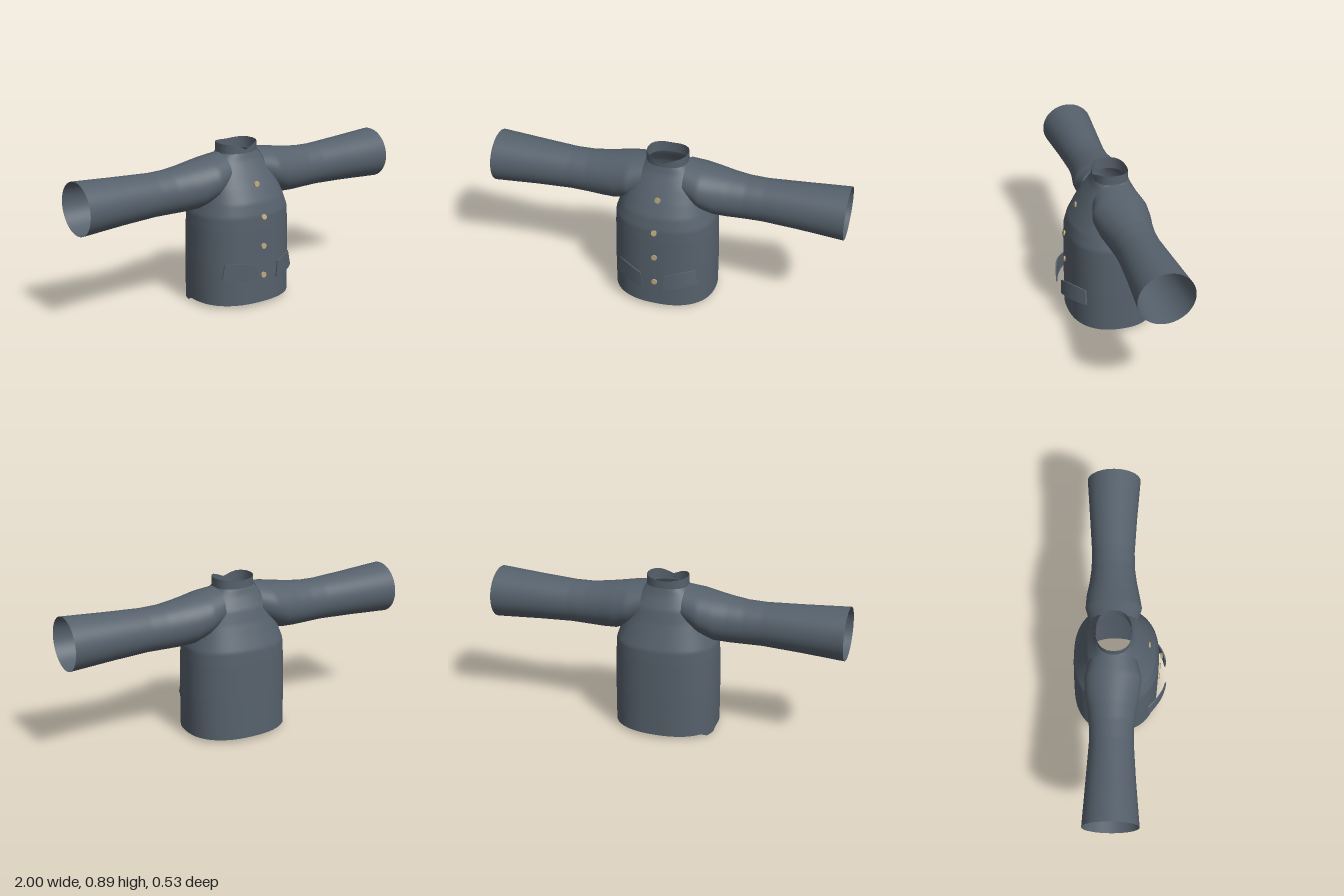
import * as THREE from 'three';

const cloth = new THREE.MeshStandardMaterial({ color: 0x56616c, side: THREE.DoubleSide });
const brass = new THREE.MeshStandardMaterial({ color: 0xb8a67c });

// Torso rings: height, half width, front z, back z
const TORSO = [
  [0.02, 0.29, 0.22, -0.266], [0.25, 0.291, 0.22, -0.262], [0.45, 0.287, 0.219, -0.257],
  [0.52, 0.283, 0.217, -0.253], [0.59, 0.258, 0.2, -0.225], [0.66, 0.235, 0.163, -0.198],
  [0.73, 0.21, 0.122, -0.178], [0.8, 0.155, 0.078, -0.14], [0.838, 0.115, 0.064, -0.127],
];
// Sleeve rings: distance from centre, top, bottom, front z, back z
const SLEEVE = [
  [0.115, 0.84, 0.63, 0.095, -0.165], [0.2, 0.828, 0.585, 0.12, -0.188],
  [0.28, 0.815, 0.553, 0.108, -0.184], [0.36, 0.802, 0.548, 0.093, -0.17],
  [0.45, 0.791, 0.549, 0.081, -0.16], [0.55, 0.789, 0.551, 0.079, -0.158],
  [0.75, 0.8, 0.543, 0.091, -0.172], [1, 0.816, 0.528, 0.111, -0.19],
];

// Interpolated row at key k
function rowAt(rows, k) {
  let i = 0;
  while (i < rows.length - 2 && k > rows[i + 1][0]) i++;
  const t = THREE.MathUtils.clamp((k - rows[i][0]) / (rows[i + 1][0] - rows[i][0]), 0, 1);
  return rows[i].map((v, n) => v + (rows[i + 1][n] - v) * t);
}

// Inside tests used to open the armholes and trim the sleeve roots
function insideSleeve(p) {
  const x = Math.abs(p.x);
  if (x < 0.125) return false;
  const [, top, bot, zf, zb] = rowAt(SLEEVE, x);
  return Math.hypot((p.y - (top + bot) / 2) * 2 / (top - bot), (p.z - (zf + zb) / 2) * 2 / (zf - zb)) < 0.995;
}
const POWER = 2.35, MID = -0.03;
function insideTorso(p) {
  if (p.y > 0.838) return false;
  const [, w, zf, zb] = rowAt(TORSO, p.y);
  const dz = p.z > MID ? (p.z - MID) / (zf - MID) : (p.z - MID) / (zb - MID);
  return Math.abs(p.x / w) ** POWER + dz ** POWER < 0.99;
}

// Tube through rings of points; triangles wholly inside "drop" are left out
function loft(name, rings, sides, point, flip, drop) {
  const pts = [], index = [];
  for (let i = 0; i < rings; i++)
    for (let j = 0; j < sides; j++) pts.push(point(i / (rings - 1), j / sides * Math.PI * 2));
  const tri = (a, b, c) => {
    if (drop && [a, b, c].every((n) => drop(pts[n]))) return;
    index.push(...(flip ? [a, c, b] : [a, b, c]));
  };
  for (let i = 0; i < rings - 1; i++)
    for (let j = 0; j < sides; j++) {
      const a = i * sides + j, b = i * sides + (j + 1) % sides;
      tri(a, b, a + sides);
      tri(b, b + sides, a + sides);
    }
  const geo = new THREE.BufferGeometry().setFromPoints(pts);
  geo.setIndex(index);
  geo.computeVertexNormals();
  const mesh = new THREE.Mesh(geo, cloth);
  mesh.name = name;
  return mesh;
}

const signedPow = (v, e) => Math.sign(v) * Math.abs(v) ** e;

export function createModel() {
  const jacket = new THREE.Group();
  jacket.name = 'jacket';

  // Body, with a small tuck hanging below the hem on its right side
  jacket.add(loft('body', 70, 96, (t, a) => {
    const y = 0.02 + 0.818 * t;
    const [, w, zf, zb] = rowAt(TORSO, y);
    const c = signedPow(Math.cos(a), 2 / POWER), s = signedPow(Math.sin(a), 2 / POWER);
    const p = new THREE.Vector3(w * c, y, MID + s * (s > 0 ? zf - MID : MID - zb));
    if (t === 0 && p.x < 0) p.y -= 0.02 * THREE.MathUtils.clamp(1.8 - Math.abs(p.z + 0.12) / 0.035, 0, 1);
    return p;
  }, true, insideSleeve));

  // Sleeves
  for (const side of [1, -1])
    jacket.add(loft(side > 0 ? 'leftSleeve' : 'rightSleeve', 70, 48, (t, a) => {
      const x = 0.115 + 0.885 * t;
      const [, top, bot, zf, zb] = rowAt(SLEEVE, x);
      return new THREE.Vector3(side * x,
        (top + bot) / 2 + Math.cos(a) * (top - bot) / 2,
        (zf + zb) / 2 + Math.sin(a) * (zf - zb) / 2);
    }, side < 0, insideTorso));

  // Standing collar, dipping to a notch at the front
  jacket.add(loft('collar', 4, 20, (t, a) => {
    const s = Math.sin(a), c = Math.cos(a);
    const notch = s > 0.97 ? 0.022 : s > 0.9 ? 0.008 : 0;
    const top = 0.88 + 0.01 * Math.abs(c) - notch;
    return new THREE.Vector3(0.115 * signedPow(c, 0.85), 0.822 + (top - 0.822) * t, -0.031 + 0.096 * signedPow(s, 0.85));
  }, true));

  // Buttons: height, z, backward lean
  [[0.685, 0.163, 0.15], [0.515, 0.231, 0.3], [0.348, 0.23, 0.08], [0.18, 0.23, 0.05]].forEach(([y, z, lean], i) => {
    const button = new THREE.Mesh(new THREE.CylinderGeometry(0.016, 0.016, 0.008, 16), brass);
    button.name = 'button' + (i + 1);
    button.position.set(0, y, z);
    button.rotation.x = Math.PI / 2 - lean;
    jacket.add(button);
  });

  // Pocket flaps, tapered and curved round the body
  for (const side of [1, -1]) {
    const geo = new THREE.BoxGeometry(1, 1, 0.008, 8, 1, 1);
    const pos = geo.attributes.position;
    for (let i = 0; i < pos.count; i++) {
      const u = pos.getX(i) * side + 0.5, up = pos.getY(i) > 0;
      const x = up ? 0.068 + 0.15 * u : 0.06 + 0.175 * u;
      const y = up ? 0.255 + 0.014 * Math.sin(u * Math.PI) + 0.006 * u : 0.165 + 0.012 * u;
      const z = 0.263 - 0.03 * u - 0.068 * u * u;
      pos.setXYZ(i, side * x, y, z + pos.getZ(i));
    }
    geo.computeVertexNormals();
    const flap = new THREE.Mesh(geo, cloth);
    flap.name = side > 0 ? 'leftPocketFlap' : 'rightPocketFlap';
    jacket.add(flap);
  }
  return jacket;
}
